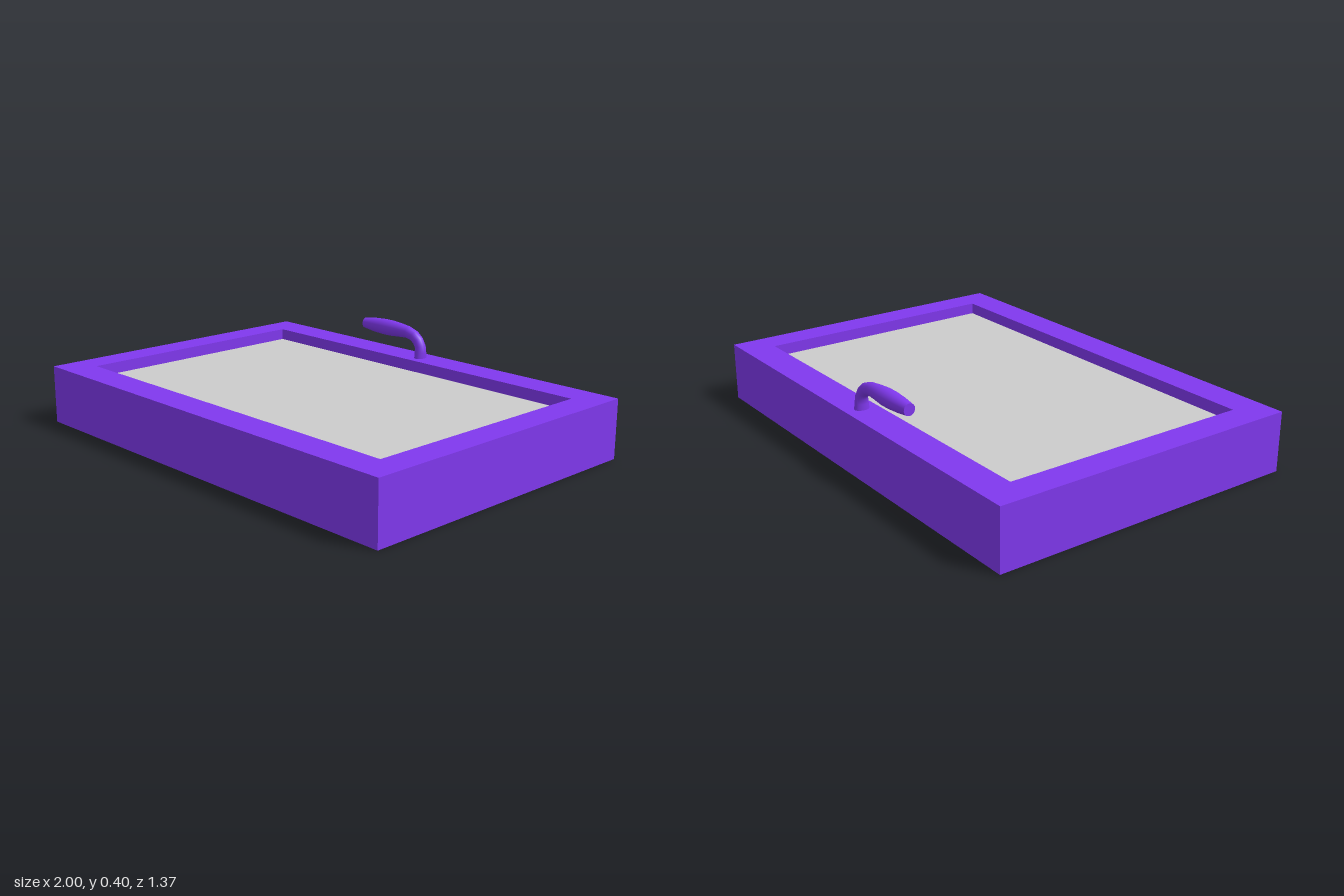
import * as THREE from 'three';

const W = 2, D = 1.372, H = 0.255;            // outer frame
const OPEN_W = 1.746, OPEN_D = 1.094;         // opening
const GLASS_Y = 0.205;
const SIDES = 20;

const purple = new THREE.MeshStandardMaterial({ color: 0x8038ee });
const grey = new THREE.MeshStandardMaterial({ color: 0xcccccc });

function rectangle(PathType, w, d) {
  const p = new PathType();
  p.moveTo(-w / 2, -d / 2);
  p.lineTo(w / 2, -d / 2);
  p.lineTo(w / 2, d / 2);
  p.lineTo(-w / 2, d / 2);
  p.closePath();
  return p;
}

function addMesh(parent, name, geometry, material) {
  const mesh = new THREE.Mesh(geometry, material);
  mesh.name = name;
  parent.add(mesh);
  return mesh;
}

function box(parent, name, w, d, y0, y1, material) {
  const mesh = addMesh(parent, name, new THREE.BoxGeometry(w, y1 - y0, d), material);
  mesh.position.y = (y0 + y1) / 2;
  return mesh;
}

// Elliptical sections swept along the bent handle: [x, y, bend in degrees, radius in plane, radius in z]
const SECTIONS = [
  [0, 0.25, 0, 0.024, 0.033],
  [0, 0.28, 0, 0.024, 0.029],
  [-0.002, 0.306, 14, 0.024, 0.026],
  [-0.017, 0.331, 38, 0.025, 0.025],
  [-0.042, 0.35, 58, 0.026, 0.025],
  [-0.08, 0.361, 78, 0.028, 0.026],
  [-0.13, 0.363, 90, 0.032, 0.031],
  [-0.18, 0.363, 90, 0.036, 0.036],
  [-0.23, 0.363, 90, 0.036, 0.036],
  [-0.29, 0.363, 90, 0.032, 0.032],
  [-0.348, 0.363, 90, 0.025, 0.025],
];

function loftHandle() {
  const positions = [], index = [];
  SECTIONS.forEach(([x, y, bend, rn, rz], i) => {
    const a = THREE.MathUtils.degToRad(bend);
    for (let j = 0; j < SIDES; j++) {
      const t = (j / SIDES) * Math.PI * 2, n = rn * Math.cos(t);
      positions.push(x + n * Math.cos(a), y + n * Math.sin(a), -rz * Math.sin(t));
      if (i === SECTIONS.length - 1) continue;
      const k = (j + 1) % SIDES, r = i * SIDES, s = r + SIDES;
      index.push(r + j, r + k, s + j, r + k, s + k, s + j);
    }
  });
  const geometry = new THREE.BufferGeometry();
  geometry.setAttribute('position', new THREE.Float32BufferAttribute(positions, 3));
  geometry.setIndex(index);
  geometry.computeVertexNormals();
  return geometry;
}

export function createModel() {
  const model = new THREE.Group();
  model.name = 'framedPanel';

  // Rectangular surround with its opening
  const outline = rectangle(THREE.Shape, W, D);
  outline.holes.push(rectangle(THREE.Path, OPEN_W, OPEN_D));
  const surround = new THREE.ExtrudeGeometry(outline, { depth: H, bevelEnabled: false });
  surround.rotateX(-Math.PI / 2);
  addMesh(model, 'frame', surround, purple);

  // Closed underside and recessed pane
  box(model, 'backPanel', OPEN_W, OPEN_D, 0, GLASS_Y - 0.02, purple);
  box(model, 'pane', OPEN_W, OPEN_D, GLASS_Y - 0.02, GLASS_Y, grey);

  // Bent lever handle on the rear rail
  const handle = new THREE.Group();
  handle.name = 'handle';
  handle.position.z = -0.613;
  addMesh(handle, 'lever', loftHandle(), purple);
  const [x, y, , rn, rz] = SECTIONS[SECTIONS.length - 1];
  const cap = addMesh(handle, 'leverEnd', new THREE.CircleGeometry(1, SIDES), purple);
  cap.position.set(x, y, 0);
  cap.rotation.y = -Math.PI / 2;
  cap.scale.set(rz, rn, 1);
  model.add(handle);

  return model;
}
